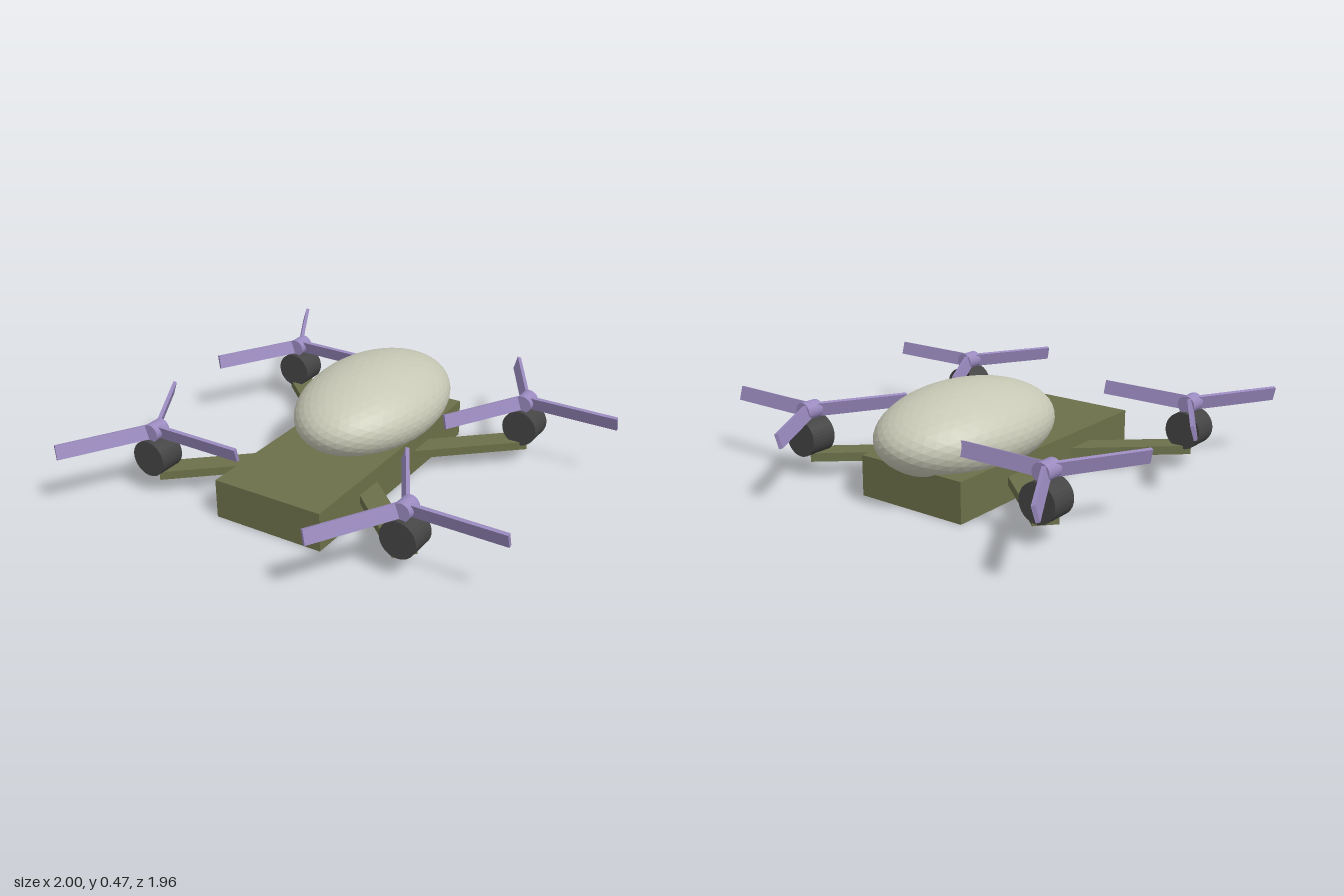
import * as THREE from 'three';

const paint = (color, flatShading = true) => new THREE.MeshStandardMaterial({ color, flatShading });

function part(name, geometry, material, parent, x = 0, y = 0, z = 0) {
  const mesh = new THREE.Mesh(geometry, material);
  mesh.name = name;
  mesh.position.set(x, y, z);
  parent.add(mesh);
  return mesh;
}

export function createModel() {
  const model = new THREE.Group();
  model.name = 'quadcopter';
  const olive = paint(0x6b7049);
  const cream = paint(0xc8c8b6);
  const charcoal = paint(0x444444);
  const purple = paint(0x9a8abf);

  const midX = -0.108; // the frame sits off centre because the blades reach further on one side
  const motorX = 0.65, motorZ = 0.575;

  // Slab body and faceted egg-shaped canopy towards the back
  part('body', new THREE.BoxGeometry(0.545, 0.185, 1.27), olive, model, midX, 0.0925, 0);
  const canopy = new THREE.IcosahedronGeometry(1, 7).scale(0.325, 0.197, 0.49);
  part('canopy', canopy, cream, model, midX, 0.277, -0.255);

  // Shared geometry for the four rotor units
  const armLength = Math.hypot(motorX, motorZ);
  const armGeometry = new THREE.BoxGeometry(armLength, 0.04, 0.11).translate(armLength / 2, 0, 0);
  const motorGeometry = new THREE.CylinderGeometry(0.086, 0.086, 0.13, 32).rotateX(Math.PI / 2);
  const hubGeometry = new THREE.CylinderGeometry(0.042, 0.042, 0.085, 32).rotateX(Math.PI / 2);
  const bladeGeometry = new THREE.BoxGeometry(0.456, 0.066, 0.017).rotateX(0.28).translate(0.228, 0, 0);

  for (const sx of [-1, 1]) {
    for (const sz of [-1, 1]) {
      const unit = new THREE.Group();
      unit.name = `${sz > 0 ? 'front' : 'back'}${sx > 0 ? 'Left' : 'Right'}Rotor`;
      unit.position.set(midX, 0, 0);
      model.add(unit);

      // Diagonal arm from the body centre to the motor
      const arm = part('arm', armGeometry, olive, unit, 0, 0.095, 0);
      arm.rotation.y = Math.atan2(-sz * motorZ, sx * motorX);

      part('motor', motorGeometry, charcoal, unit, sx * motorX, 0.185, sz * motorZ);

      // Hub with three pitched blades
      const propeller = new THREE.Group();
      propeller.name = 'propeller';
      propeller.position.set(sx * motorX, 0.303, sz * motorZ);
      unit.add(propeller);
      part('hub', hubGeometry, purple, propeller);
      for (let i = 0; i < 3; i++) {
        part('blade', bladeGeometry, purple, propeller).rotation.y = (i * Math.PI * 2) / 3;
      }
    }
  }
  return model;
}
